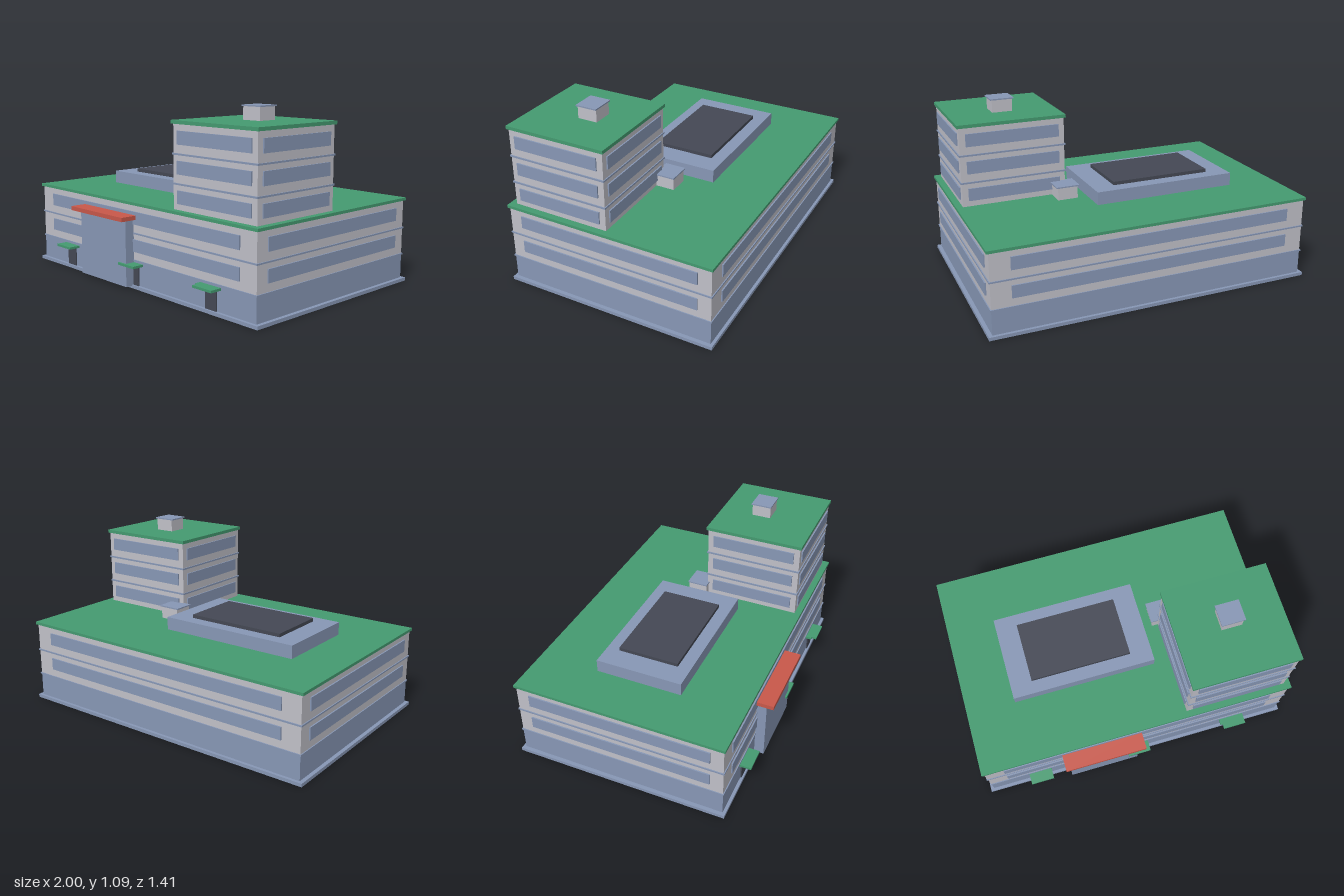
import * as THREE from 'three';

const mat = (name, color) => {
  const m = new THREE.MeshStandardMaterial({ color });
  m.name = name;
  return m;
};

export function createModel() {
  const model = new THREE.Group();
  model.name = 'officeBuilding';
  const blue = mat('slateBlue', 0x8797b5);
  const wall = mat('paleGrey', 0xc0c0c8);
  const green = mat('roofGreen', 0x449a70);
  const red = mat('canopyRed', 0xc8584a);
  const dark = mat('charcoal', 0x444854);

  // Box given by its extents on each axis
  const box = (name, m, [x0, x1], [y0, y1], [z0, z1], parent = model) => {
    const mesh = new THREE.Mesh(new THREE.BoxGeometry(x1 - x0, y1 - y0, z1 - z0), m);
    mesh.position.set((x0 + x1) / 2, (y0 + y1) / 2, (z0 + z1) / 2);
    mesh.name = name;
    parent.add(mesh);
    return mesh;
  };
  const grow = ([a, b], d) => [a - d, b + d];

  // Ribbon windows on all four walls of a block
  const ribbonWindows = (name, xs, zs, winX, winZ, rows) => {
    const group = new THREE.Group();
    group.name = name;
    const t = 0.008;
    for (const row of rows) {
      box('frontWindow', blue, winX, row, [zs[1], zs[1] + t], group);
      box('backWindow', blue, winX, row, [zs[0] - t, zs[0]], group);
      box('leftWindow', blue, [xs[1], xs[1] + t], row, winZ, group);
      box('rightWindow', blue, [xs[0] - t, xs[0]], row, winZ, group);
    }
    model.add(group);
  };

  // Main block
  const mx = [-0.977, 0.977], mz = [-0.685, 0.595];
  box('baseSlab', blue, [-1, 1], [0, 0.02], [-0.703, 0.613]);
  box('groundFloor', blue, mx, [0.02, 0.165], mz);
  box('upperFloors', wall, mx, [0.165, 0.5], mz);
  for (const y of [0.167, 0.33]) box('floorLedge', blue, grow(mx, 0.006), [y - 0.004, y + 0.005], grow(mz, 0.006));
  box('mainRoof', green, grow(mx, 0.012), [0.498, 0.515], grow(mz, 0.01));
  ribbonWindows('mainWindows', mx, mz, [-0.86, 0.86], [-0.605, 0.517], [[0.22, 0.294], [0.384, 0.46]]);

  // Tower
  const tx = [0.315, 0.949], tz = [-0.035, 0.566];
  box('tower', wall, tx, [0.515, 0.99], tz);
  for (const y of [0.66, 0.825]) box('towerLedge', blue, grow(tx, 0.006), [y - 0.005, y + 0.005], grow(tz, 0.006));
  box('towerRoof', green, grow(tx, 0.01), [0.99, 1.01], grow(tz, 0.01));
  ribbonWindows('towerWindows', tx, tz, [0.35, 0.912], [0.002, 0.53],
    [[0.55, 0.625], [0.714, 0.789], [0.878, 0.954]]);

  // Rooftop vents with caps
  for (const [x, y, z] of [[0.633, 1.01, 0.223], [0.338, 0.515, -0.09]]) {
    box('vent', wall, [x - 0.062, x + 0.062], [y, y + 0.075], [z - 0.06, z + 0.06]);
    box('ventCap', blue, [x - 0.072, x + 0.072], [y + 0.075, y + 0.083], [z - 0.065, z + 0.065]);
  }

  // Raised roof room with dark top
  box('roofRoom', blue, [-0.685, 0.213], [0.515, 0.594], [-0.315, 0.217]);
  box('roofRoomTop', dark, [-0.552, 0.077], [0.594, 0.615], [-0.236, 0.138]);

  // Main entrance
  box('entranceBlock', blue, [-0.462, -0.013], [0.014, 0.415], [0.59, 0.655]);
  box('entranceCanopy', red, [-0.493, 0.018], [0.415, 0.44], [0.595, 0.705]);

  // Side doors with small canopies
  for (const x of [-0.655, -0.005, 0.648]) {
    box('door', dark, [x - 0.042, x + 0.042], [0.02, 0.135], [0.59, 0.602]);
    box('doorCanopy', green, [x - 0.072, x + 0.074], [0.141, 0.155], [0.592, 0.667]);
  }
  box('canopyEnd', green, [0.562, 0.576], [0.141, 0.155], [0.592, 0.635]);

  return model;
}
